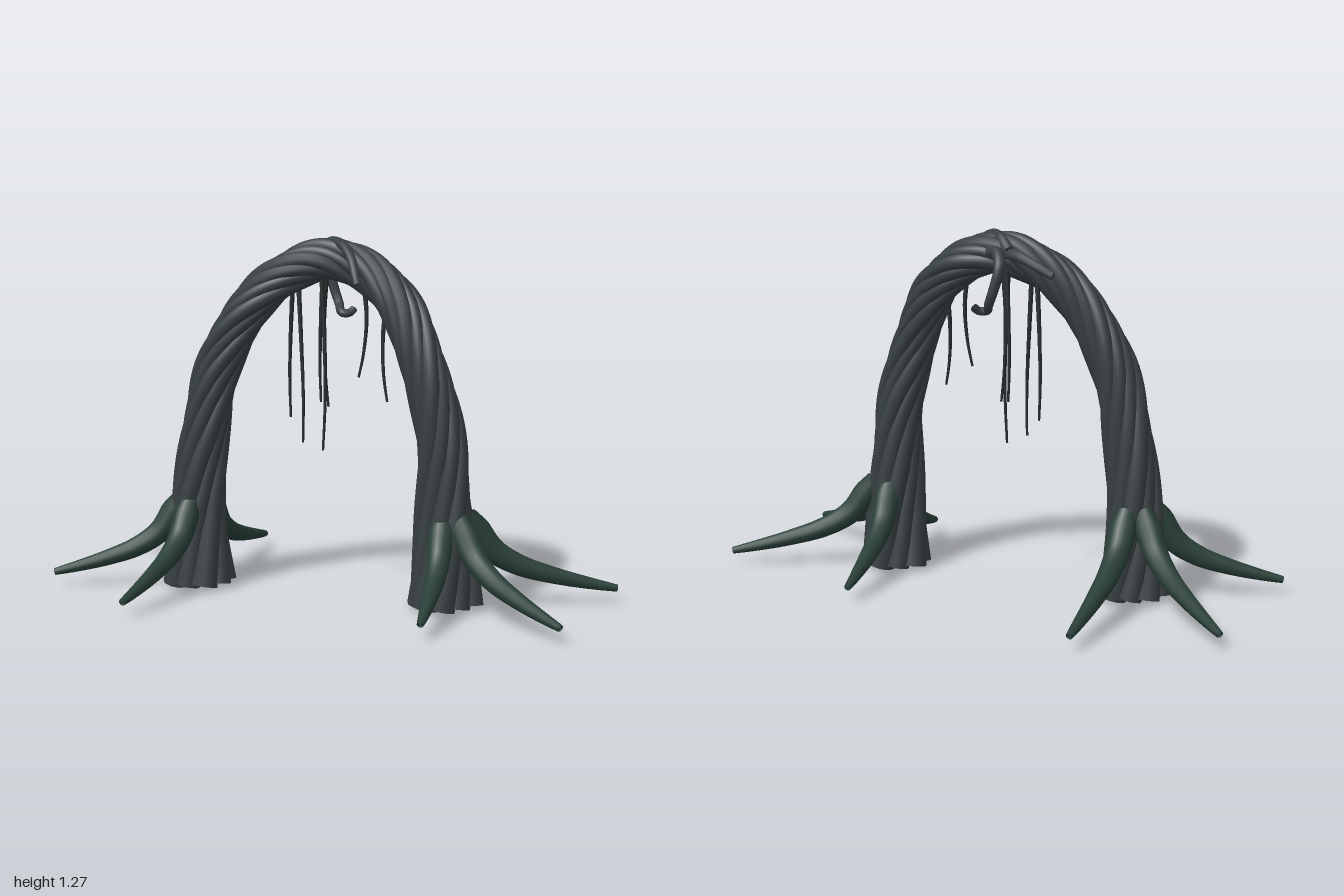
import * as THREE from 'three';

const V = (x, y, z) => new THREE.Vector3(x, y, z);
const curveOf = (pts) => new THREE.CatmullRomCurve3(pts.map((p) => V(...p)), false, 'centripetal');

const bark = new THREE.MeshStandardMaterial({ color: 0x394144 });
const rootBark = new THREE.MeshStandardMaterial({ color: 0x2a4038 });
const vineBark = new THREE.MeshStandardMaterial({ color: 0x252d2e });

// Tube whose radius follows radiusAt(t); both ends are closed.
function taperedTube(curve, segments, sides, radiusAt) {
  const geo = new THREE.TubeGeometry(curve, segments, 1, sides, false);
  const pos = geo.attributes.position;
  const v = V(0, 0, 0);
  for (let i = 0; i <= segments; i++) {
    const end = i === 0 || i === segments;
    const centre = curve.getPointAt(i / segments);
    const capCentre = curve.getPointAt(Math.min(Math.max(i, 1), segments - 1) / segments);
    const r = end ? 0 : radiusAt(i / segments);
    for (let j = 0; j <= sides; j++) {
      const k = i * (sides + 1) + j;
      v.fromBufferAttribute(pos, k).sub(centre).multiplyScalar(r).add(end ? capCentre : centre);
      pos.setXYZ(k, v.x, v.y, v.z);
    }
  }
  return geo;
}

function addPart(parent, name, geo, mat) {
  const mesh = new THREE.Mesh(geo, mat);
  mesh.name = name;
  parent.add(mesh);
}

function addGroup(parent, name) {
  const g = new THREE.Group();
  g.name = name;
  parent.add(g);
  return g;
}

// Centre line of the arch, from its right foot to its left foot
const spine = curveOf([
  [-0.5, 0, 0.05], [-0.505, 0.3, 0.05], [-0.47, 0.6, 0.05], [-0.41, 0.83, 0.05],
  [-0.3, 1.02, 0.045], [-0.17, 1.14, 0.025], [-0.03, 1.193, 0], [0.12, 1.155, -0.01],
  [0.25, 1.04, 0.02], [0.34, 0.86, 0.05], [0.41, 0.6, 0.055], [0.425, 0.3, 0.05], [0.43, 0, 0.05],
]);

// Thickness of the whole bundle: wide feet, slim crown
function bundleRadius(t) {
  const d = Math.abs(t - 0.5) * 2;
  return 0.073 + 0.037 * d * d + 0.025 * Math.pow(d, 8);
}

// One strand winding round the spine, tighter towards the crown
function strandCurve(phase, spread) {
  const pts = [];
  const steps = 56;
  for (let i = 0; i <= steps; i++) {
    const t = i / steps;
    const tan = spine.getTangentAt(t);
    const out = V(0, 0, 1).cross(tan).normalize();
    const side = tan.clone().cross(out);
    const a = phase + Math.PI * 2 * 1.9 * (t - 0.5 * Math.sin(Math.PI * 2 * t) / (Math.PI * 2));
    const r = bundleRadius(t) * spread;
    pts.push(spine.getPointAt(t).addScaledVector(out, Math.cos(a) * r).addScaledVector(side, Math.sin(a) * r));
  }
  return new THREE.CatmullRomCurve3(pts);
}

export function createModel() {
  const model = new THREE.Group();
  model.name = 'twistedRootArch';

  // Twisted strands of the arch
  const arch = addGroup(model, 'arch');
  const count = 9;
  for (let i = 0; i < count; i++) {
    const wobble = Math.sin(i * 2.4);
    const curve = strandCurve((i / count) * Math.PI * 2, 0.66 + 0.03 * wobble);
    addPart(arch, 'strand', taperedTube(curve, 190, 10, (t) => bundleRadius(t) * (0.36 + 0.03 * wobble)), bark);
  }
  addPart(arch, 'core', taperedTube(spine, 120, 10, (t) => bundleRadius(t) * 0.5), bark);

  // Spreading roots: foot centre and tips (x, z)
  const feet = [
    { name: 'rightRoots', x: -0.5, tips: [[-0.95, -0.37], [-0.505, -0.585], [-0.995, 0.28], [-0.555, 0.58]] },
    { name: 'leftRoots', x: 0.43, tips: [[0.995, -0.22], [0.92, 0.36], [0.475, 0.48], [0.375, -0.44]] },
  ];
  // [share of the way to the tip, height]
  const rootProfile = [[0.1, 0.34], [0.17, 0.28], [0.27, 0.2], [0.42, 0.145], [0.62, 0.105], [0.82, 0.075], [1, 0.052]];
  for (const foot of feet) {
    const group = addGroup(model, foot.name);
    for (const [tx, tz] of foot.tips) {
      const curve = curveOf(rootProfile.map(([s, y]) => [foot.x + (tx - foot.x) * s, y, 0.05 + (tz - 0.05) * s]));
      const radiusAt = (t) => 0.01 + 0.042 * Math.pow(1 - t, 0.8) * Math.min(1, 0.5 + t * 4);
      addPart(group, 'root', taperedTube(curve, 36, 12, radiusAt), rootBark);
    }
  }

  // Loose curls at the crown
  const curls = addGroup(model, 'curls');
  const curlPaths = [
    [[-0.08, 1.2, -0.07], [-0.02, 1.25, -0.02], [0.05, 1.245, 0.045], [0.1, 1.2, 0.095], [0.125, 1.15, 0.125], [0.14, 1.11, 0.14]],
    [[0.02, 1.2, -0.04], [-0.04, 1.2, -0.085], [-0.065, 1.16, -0.122], [-0.05, 1.09, -0.132], [-0.025, 1.03, -0.122], [0, 1.0, -0.085], [0.025, 1.0, -0.095], [0.04, 1.02, -0.115]],
    [[-0.04, 1.2, -0.04], [-0.12, 1.19, -0.075], [-0.19, 1.16, -0.085], [-0.25, 1.13, -0.085]],
  ];
  for (const path of curlPaths) {
    addPart(curls, 'curl', taperedTube(curveOf(path), 40, 10, (t) => 0.022 - 0.008 * t), bark);
  }

  // Thin hanging vines: top x, top y, end x, end y, z
  const vines = addGroup(model, 'hangingVines');
  const vineSpecs = [
    [-0.165, 1.12, -0.18, 0.6, -0.045], [-0.125, 1.14, -0.105, 0.52, 0.03], [-0.055, 1.16, -0.07, 0.66, -0.06],
    [-0.045, 1.16, -0.04, 0.49, 0.005], [-0.03, 1.16, -0.025, 0.65, -0.02],
    [0.11, 1.12, 0.09, 0.77, 0], [0.2, 1.06, 0.208, 0.69, 0.02],
  ];
  vineSpecs.forEach(([x0, y0, x1, y1, z], i) => {
    const sway = 0.012 * (i % 2 ? 1 : -1);
    const curve = curveOf([
      [x0, y0, z * 0.7], [x0 + sway, y0 + (y1 - y0) * 0.35, z * 0.85],
      [(x0 + x1) / 2 + sway, y0 + (y1 - y0) * 0.7, z], [x1, y1, z],
    ]);
    addPart(vines, 'vine', taperedTube(curve, 24, 6, (t) => 0.009 - 0.005 * t), vineBark);
  });

  return model;
}
